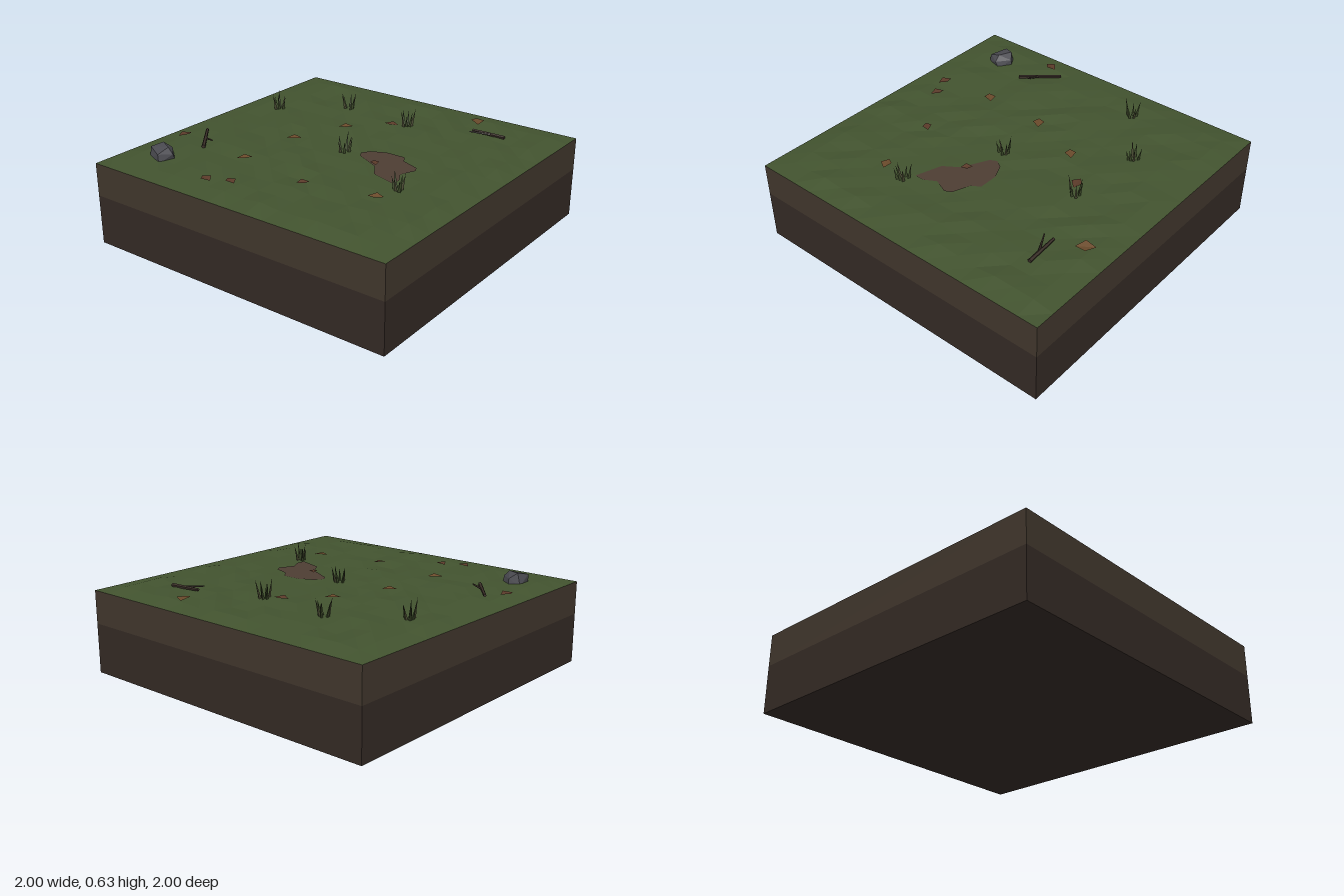
import * as THREE from 'three';
import { ConvexGeometry } from 'three/addons/geometries/ConvexGeometry.js';

const mat = (color, side = THREE.FrontSide) =>
  new THREE.MeshStandardMaterial({ color, flatShading: true, side });
const v = (x, y, z) => new THREE.Vector3(x, y, z);

function seeded(seed) {
  return () => {
    seed = (seed * 16807) % 2147483647;
    return seed / 2147483647;
  };
}

export function createModel() {
  const model = new THREE.Group();
  const rand = seeded(4711);

  function add(name, geometry, material, parent = model) {
    const mesh = new THREE.Mesh(geometry, material);
    mesh.name = name;
    parent.add(mesh);
    return mesh;
  }

  // Two soil layers
  add('lowerSoil', new THREE.BoxGeometry(2, 0.3, 2), mat(0x332924)).position.y = 0.15;
  const wall = new THREE.CylinderGeometry(Math.SQRT2, Math.SQRT2, 0.2, 4, 1, true, Math.PI / 4);
  add('upperSoil', wall, mat(0x40362c)).position.y = 0.4;

  // Bumpy grass top, level along its border and under the mud
  const turf = new THREE.PlaneGeometry(2, 2, 16, 16).rotateX(-Math.PI / 2);
  const p = turf.attributes.position;
  for (let i = 0; i < p.count; i++) {
    const x = p.getX(i), z = p.getZ(i);
    const border = Math.max(Math.abs(x), Math.abs(z)) > 0.99;
    const mud = Math.hypot(x + 0.08, z - 0.33) < 0.34;
    const bump = 0.506 + 0.019 * rand();
    p.setY(i, border ? 0.5 : mud ? Math.min(bump, 0.514) : bump);
  }
  add('grassTop', turf, mat(0x42532f));

  // Flat mud patch
  const outline = [[-0.26, 0.53], [-0.21, 0.37], [-0.12, 0.31], [-0.04, 0.15], [0, 0.13], [0.05, 0.16],
    [0.09, 0.25], [0.09, 0.37], [0.04, 0.4], [0, 0.51], [-0.04, 0.53], [-0.13, 0.49], [-0.2, 0.53]];
  const mudShape = new THREE.Shape(outline.map(([x, z]) => new THREE.Vector2(x, -z)));
  add('mudPatch', new THREE.ShapeGeometry(mudShape).rotateX(-Math.PI / 2), mat(0x4d3d33)).position.y = 0.518;

  // Faceted stone
  const stonePoints = [
    [-0.79, 0.5, -0.71], [-0.76, 0.5, -0.81], [-0.67, 0.5, -0.81], [-0.635, 0.5, -0.75], [-0.69, 0.5, -0.68],
    [-0.785, 0.55, -0.72], [-0.74, 0.565, -0.82], [-0.67, 0.578, -0.79], [-0.64, 0.545, -0.75],
    [-0.71, 0.575, -0.71], [-0.71, 0.54, -0.675]];
  add('stone', new ConvexGeometry(stonePoints.map(q => v(...q))), mat(0x49494f));

  // Fallen sticks, each with a side twig
  const bark = mat(0x3a2f28);
  const up = v(0, 1, 0);
  function rod(name, a, b, r0, r1, parent) {
    const dir = b.clone().sub(a);
    const mesh = add(name, new THREE.CylinderGeometry(r1, r0, dir.length(), 5), bark, parent);
    mesh.position.copy(a).lerp(b, 0.5);
    mesh.quaternion.setFromUnitVectors(up, dir.normalize());
  }
  const sticks = [
    [[-0.49, -0.65], [-0.28, -0.82], [-0.39, -0.73], [-0.415, -0.65]],
    [[0.69, 0.68], [0.68, 0.47], [0.68, 0.59], [0.625, 0.48]]];
  for (const [a, b, c, d] of sticks) {
    const stick = new THREE.Group();
    stick.name = 'stick';
    model.add(stick);
    rod('branch', v(a[0], 0.525, a[1]), v(b[0], 0.53, b[1]), 0.012, 0.009, stick);
    rod('twig', v(c[0], 0.528, c[1]), v(d[0], 0.54, d[1]), 0.007, 0.004, stick);
  }

  // Grass tufts of leaning blades
  const blades = [mat(0x3a4627), mat(0x464630)];
  for (const [x, z] of [[0.32, -0.75], [0.58, -0.39], [0.53, 0.09], [-0.035, 0.03], [-0.295, 0.59]]) {
    const tuft = new THREE.Group();
    tuft.name = 'grassTuft';
    tuft.position.set(x, 0.505, z);
    model.add(tuft);
    for (let i = 0; i < 6; i++) {
      const h = 0.08 + 0.045 * rand();
      const angle = i * 1.05 + rand();
      const reach = 0.015 + 0.018 * rand();
      const blade = add('blade', new THREE.ConeGeometry(0.011, h, 3).translate(0, h / 2, 0), blades[i % 3 ? 0 : 1], tuft);
      blade.position.set(Math.cos(angle) * reach, 0, Math.sin(angle) * reach);
      blade.quaternion.setFromUnitVectors(up, v(Math.cos(angle) * 0.22, 1, Math.sin(angle) * 0.22).normalize());
    }
  }

  // Fallen leaves: small diamonds creased along the middle
  const leafGeometry = new THREE.BufferGeometry();
  leafGeometry.setAttribute('position', new THREE.Float32BufferAttribute(
    [0, 0, -0.046, -0.034, 0.008, 0, 0, 0, 0.046, 0.034, 0.008, 0], 3));
  leafGeometry.setIndex([0, 1, 2, 0, 2, 3]);
  leafGeometry.computeVertexNormals();
  const leafColors = [mat(0x6a4a2b, THREE.DoubleSide), mat(0x5a3a29, THREE.DoubleSide)];
  // x, z, turn, size, colour
  const leaves = [
    [-0.41, -0.88, 1.3, 1, 1], [-0.82, -0.31, -0.3, 0.95, 1], [-0.765, -0.18, -0.4, 0.9, 1],
    [-0.47, -0.345, 0.8, 1, 0], [-0.06, -0.32, 0.6, 1, 0], [0.28, -0.19, 0.7, 0.95, 0],
    [0.48, 0.01, 0.2, 1, 1], [-0.545, 0.14, 0.9, 0.8, 1], [-0.46, 0.56, 0.4, 0.95, 0],
    [0.84, 0.41, -1, 1.2, 0], [-0.09, 0.29, -0.8, 0.75, 1]];
  for (const [x, z, turn, size, tone] of leaves) {
    const leaf = add('leaf', leafGeometry, leafColors[tone]);
    leaf.position.set(x, 0.525, z);
    leaf.rotation.set(0.08 * (rand() - 0.5), turn, 0.08 * (rand() - 0.5));
    leaf.scale.setScalar(size);
  }

  return model;
}
